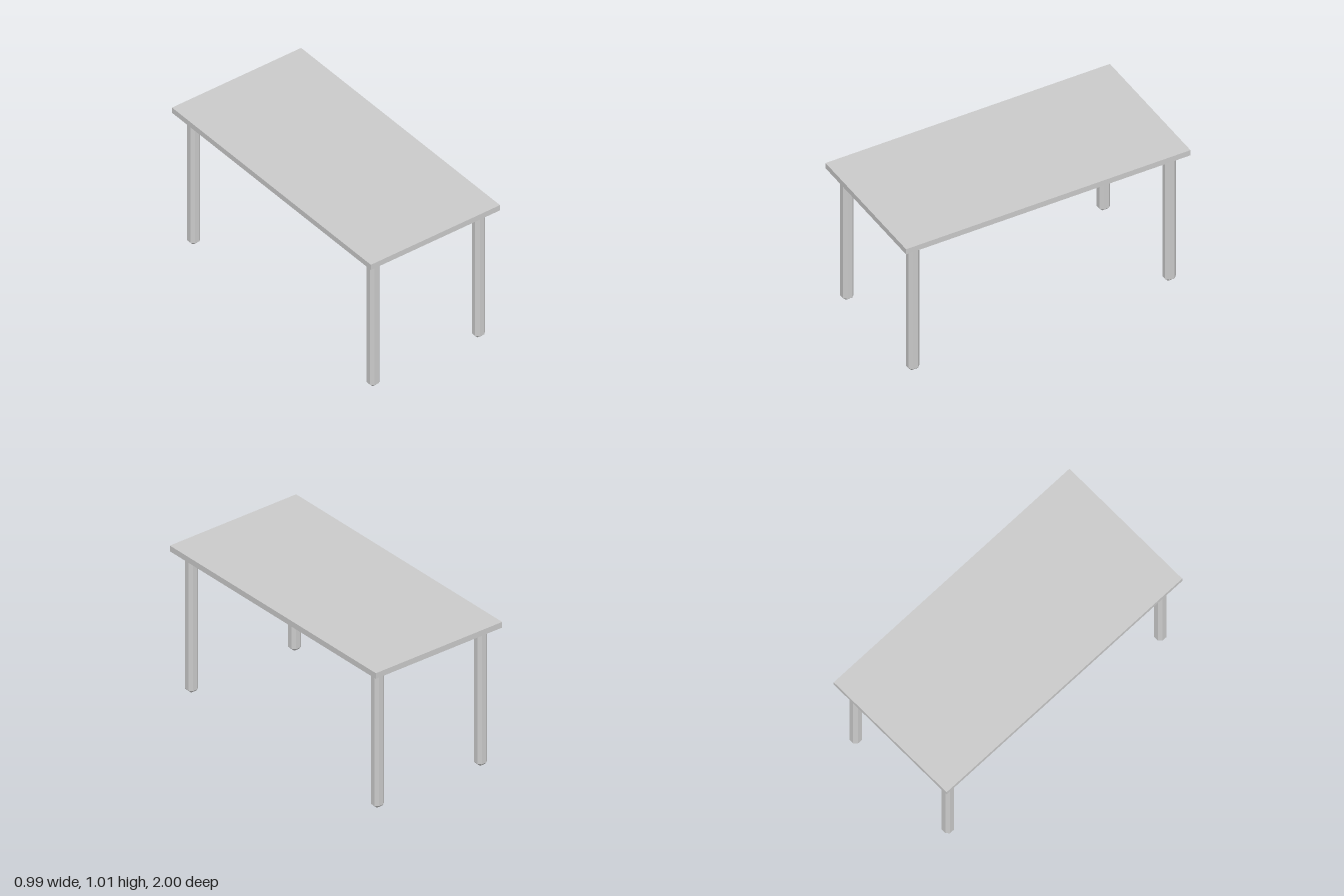
import * as THREE from 'three';
import { ConvexGeometry } from 'three/addons/geometries/ConvexGeometry.js';

const SLAB_BOTTOM = 0.973, SLAB_TOP = 1.013;
const HALF = 0.0375, BEVEL = 0.02; // leg half width and corner bevel

// Square post with bevelled corners, narrowing to a small square foot
function legGeometry() {
  const inner = HALF - BEVEL;
  const points = [];
  for (const sx of [-1, 1]) {
    for (const sz of [-1, 1]) {
      points.push(new THREE.Vector3(sx * inner, 0, sz * inner));
      for (const y of [BEVEL, SLAB_BOTTOM]) {
        points.push(new THREE.Vector3(sx * HALF, y, sz * inner));
        points.push(new THREE.Vector3(sx * inner, y, sz * HALF));
      }
    }
  }
  return new ConvexGeometry(points);
}

export function createModel() {
  const group = new THREE.Group();
  group.name = 'table';
  const material = new THREE.MeshStandardMaterial({ color: 0xcccccc, flatShading: true });

  // Table top
  const top = new THREE.Mesh(new THREE.BoxGeometry(0.993, SLAB_TOP - SLAB_BOTTOM, 2), material);
  top.name = 'tableTop';
  top.position.y = (SLAB_TOP + SLAB_BOTTOM) / 2;
  group.add(top);

  // Four legs, one near each corner
  const geometry = legGeometry();
  for (const sx of [-1, 1]) {
    for (const sz of [-1, 1]) {
      const leg = new THREE.Mesh(geometry, material);
      leg.name = (sz > 0 ? 'front' : 'back') + (sx > 0 ? 'Left' : 'Right') + 'Leg';
      leg.position.set(sx * 0.405, 0, sz * 0.902);
      group.add(leg);
    }
  }
  return group;
}
